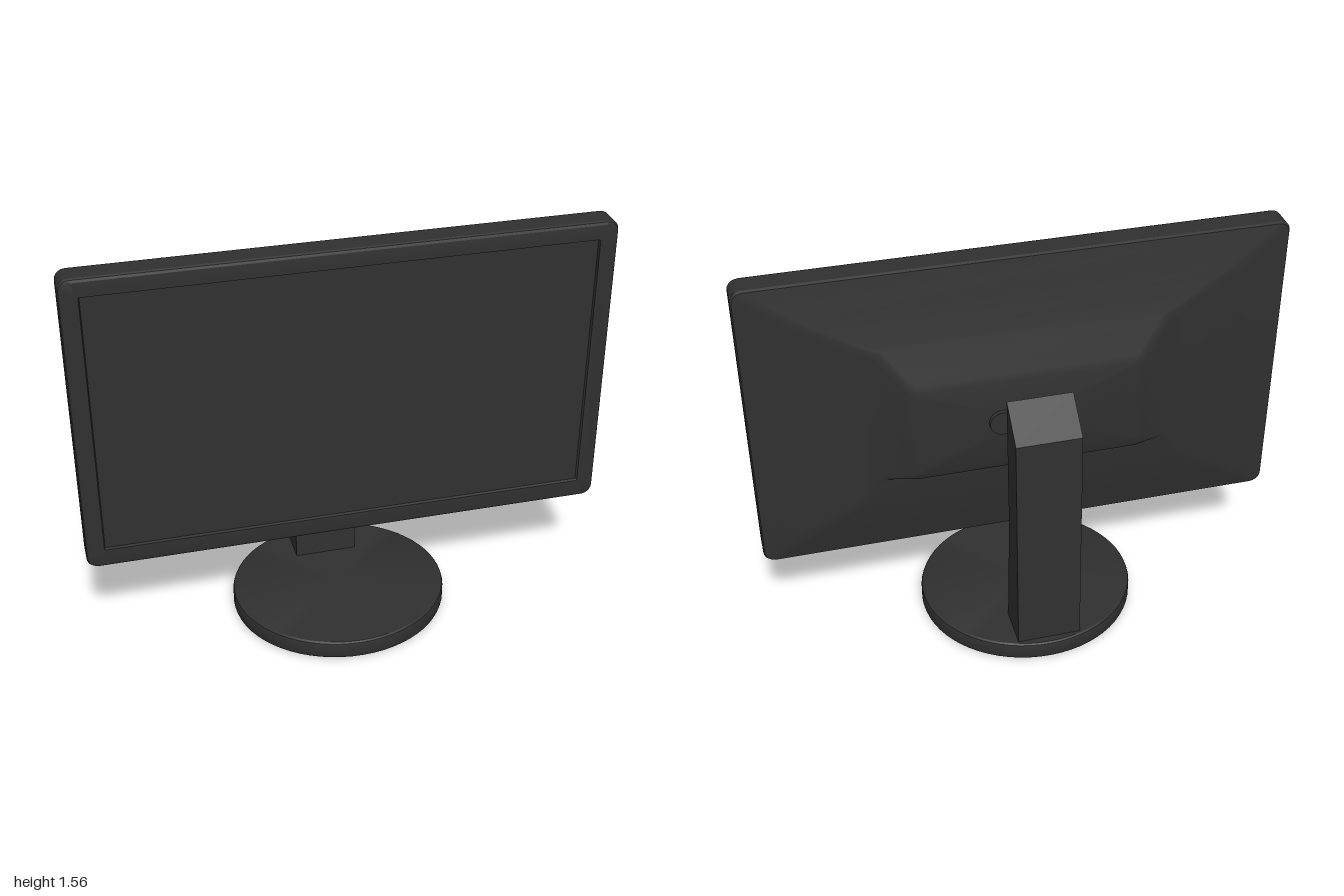
import * as THREE from 'three';
import { toCreasedNormals } from 'three/addons/utils/BufferGeometryUtils.js';

// Rounded rectangle loop, counter-clockwise seen from +z
function loop({ x, y0, y1, z, r }) {
  const pts = [], steps = 5;
  const corners = [[x - r, y0 + r, -0.5], [x - r, y1 - r, 0], [-x + r, y1 - r, 0.5], [-x + r, y0 + r, 1]];
  for (const [cx, cy, start] of corners) {
    for (let i = 0; i <= steps; i++) {
      const a = (start + 0.5 * i / steps) * Math.PI;
      pts.push([cx + r * Math.cos(a), cy + r * Math.sin(a), z]);
    }
  }
  return pts;
}

// Skin over loops ordered back to front, optionally closed at either end
function loft(rings, { capBack = false, capFront = false } = {}) {
  const loops = rings.map(loop), n = loops[0].length, pos = [], index = [];
  loops.forEach(l => l.forEach(p => pos.push(...p)));
  for (let k = 0; k < loops.length - 1; k++) {
    for (let i = 0; i < n; i++) {
      const j = (i + 1) % n, a = k * n + i, b = k * n + j;
      index.push(a, b, b + n, a, b + n, a + n);
    }
  }
  const cap = (k, flip) => {
    const c = pos.length / 3, { y0, y1, z } = rings[k];
    pos.push(0, (y0 + y1) / 2, z);
    for (let i = 0; i < n; i++) {
      const a = k * n + i, b = k * n + (i + 1) % n;
      index.push(c, flip ? b : a, flip ? a : b);
    }
  };
  if (capBack) cap(0, true);
  if (capFront) cap(rings.length - 1, false);
  const g = new THREE.BufferGeometry();
  g.setAttribute('position', new THREE.Float32BufferAttribute(pos, 3));
  g.setIndex(index);
  return toCreasedNormals(g, 0.45);
}

export function createModel() {
  const model = new THREE.Group();
  const plastic = new THREE.MeshStandardMaterial({ color: 0x303030 });
  plastic.name = 'charcoal plastic';
  const add = (name, geometry) => {
    const mesh = new THREE.Mesh(geometry, plastic);
    mesh.name = name;
    model.add(mesh);
    return mesh;
  };

  // Back shell: raised plateau stepping down to the rim
  add('backShell', loft([
    { x: 0.415, y0: 0.775, y1: 1.13, z: -0.13, r: 0.02 },
    { x: 0.44, y0: 0.75, y1: 1.16, z: -0.12, r: 0.03 },
    { x: 0.54, y0: 0.735, y1: 1.285, z: -0.077, r: 0.03 },
    { x: 0.6, y0: 0.645, y1: 1.31, z: -0.069, r: 0.03 },
    { x: 0.82, y0: 0.5, y1: 1.43, z: -0.037, r: 0.035 },
    { x: 0.995, y0: 0.385, y1: 1.555, z: -0.01, r: 0.04 },
  ], { capBack: true }));

  // Frame with softened outer edge and a shallow recess
  add('bezel', loft([
    { x: 0.995, y0: 0.385, y1: 1.555, z: -0.01, r: 0.04 },
    { x: 1, y0: 0.38, y1: 1.56, z: 0, r: 0.04 },
    { x: 1, y0: 0.38, y1: 1.56, z: 0.083, r: 0.04 },
    { x: 0.996, y0: 0.384, y1: 1.556, z: 0.091, r: 0.04 },
    { x: 0.987, y0: 0.393, y1: 1.547, z: 0.095, r: 0.035 },
    { x: 0.932, y0: 0.453, y1: 1.49, z: 0.093, r: 0.005 },
    { x: 0.928, y0: 0.457, y1: 1.486, z: 0.083, r: 0.004 },
  ]));
  add('screen', loft([
    { x: 0.928, y0: 0.457, y1: 1.486, z: 0.083, r: 0.004 },
  ], { capFront: true }));

  // Small round mount on the back
  const knob = add('mountKnob', new THREE.CylinderGeometry(0.048, 0.05, 0.025, 24));
  knob.rotation.x = -Math.PI / 2;
  knob.position.set(0.1, 0.96, -0.1325);

  // Stand column: side profile (z, y) extruded across x
  const profile = new THREE.Shape([
    [-0.195, 0.06], [-0.207, 0.3], [-0.22, 0.55], [-0.208, 0.8], [-0.195, 1.09],
    [-0.325, 0.98], [-0.334, 0.75], [-0.344, 0.45], [-0.36, 0.06],
  ].map(([z, y]) => new THREE.Vector2(-z, y)));
  const column = new THREE.ExtrudeGeometry(profile, { depth: 0.245, bevelEnabled: false });
  column.rotateY(Math.PI / 2);
  column.translate(-0.145, 0, 0);
  add('standColumn', toCreasedNormals(column, 0.45));

  // Oval foot with slightly rounded rims
  const foot = new THREE.LatheGeometry([
    [0, 0], [0.975, 0], [0.993, 0.006], [1, 0.015], [1, 0.06], [0.993, 0.069], [0.975, 0.074], [0, 0.074],
  ].map(([r, y]) => new THREE.Vector2(r, y)), 64);
  foot.scale(0.42, 1, 0.396);
  foot.translate(-0.02, 0, 0);
  add('foot', toCreasedNormals(foot, 0.6));

  return model;
}
